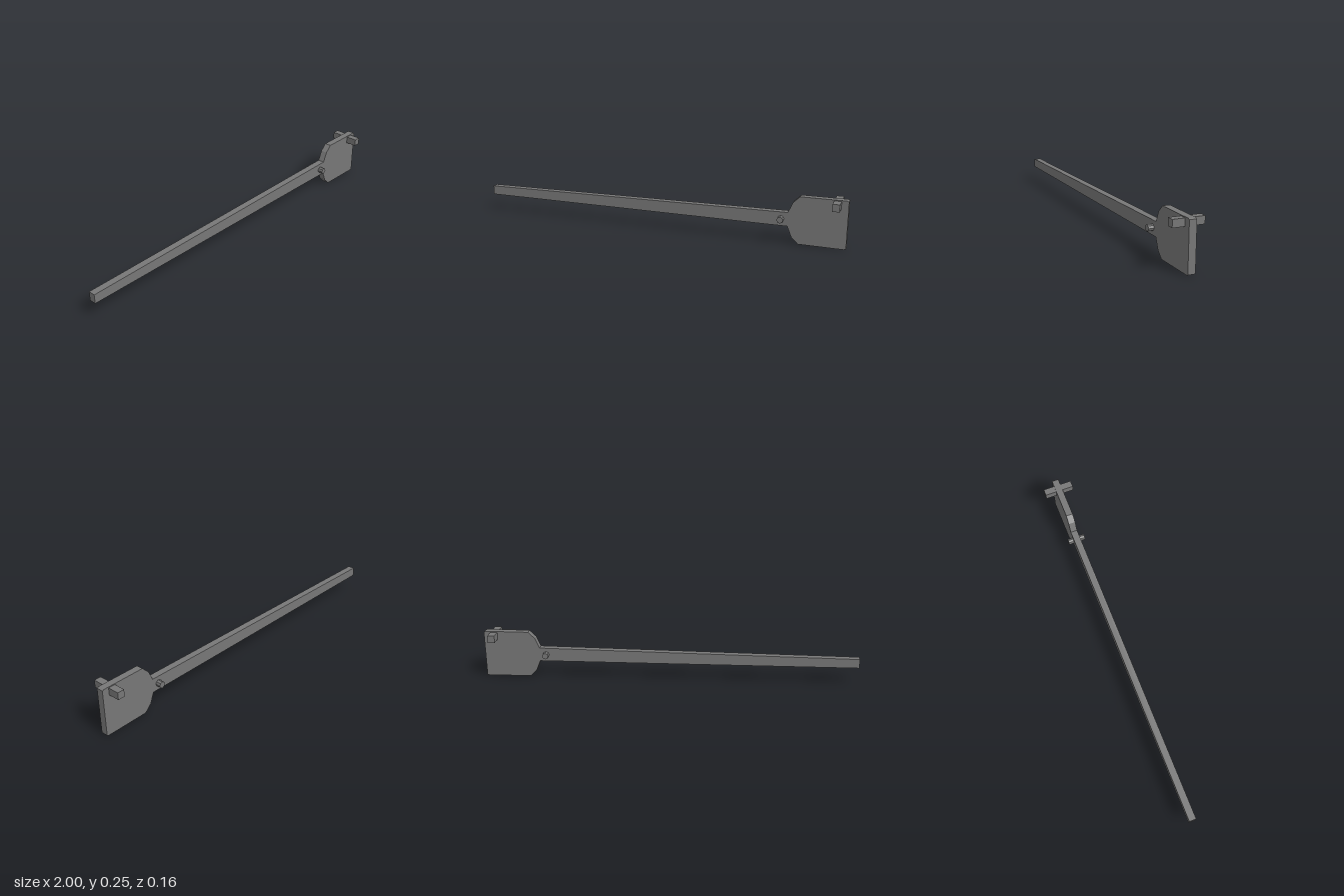
import * as THREE from 'three';

const material = new THREE.MeshStandardMaterial({ color: 0x777777, flatShading: true });
const THICKNESS = 0.037;

function addPart(group, name, geometry, x = 0, y = 0) {
  const mesh = new THREE.Mesh(geometry, material);
  mesh.name = name;
  mesh.position.set(x, y, 0);
  group.add(mesh);
}

// Flat plate cut from an outline, centred on z = 0
function plate(points) {
  const shape = new THREE.Shape(points.map(([x, y]) => new THREE.Vector2(x, y)));
  return new THREE.ExtrudeGeometry(shape, { depth: THICKNESS, bevelEnabled: false })
    .translate(0, 0, -THICKNESS / 2);
}

export function createModel() {
  const group = new THREE.Group();
  group.name = 'leverArm';

  // Long arm tapering towards its free end, widening into the broad head
  addPart(group, 'armAndHead', plate([
    [-1, 0.09], [0.703, 0.09], [0.726, 0.035], [0.761, 0.001],
    [0.99, 0], [1, 0.004], [1, 0.248], [0.99, 0.252],
    [0.761, 0.251], [0.726, 0.217], [0.703, 0.163], [-1, 0.139],
  ]));

  // Pivot pin through the arm beside the head
  const pin = new THREE.CylinderGeometry(0.0168, 0.0168, 0.094, 8).rotateX(Math.PI / 2);
  addPart(group, 'pivotPin', pin, 0.669, 0.1265);

  // Square cross bar through the top corner of the head
  addPart(group, 'crossBar', new THREE.BoxGeometry(0.037, 0.038, 0.159), 0.946, 0.228);

  return group;
}
